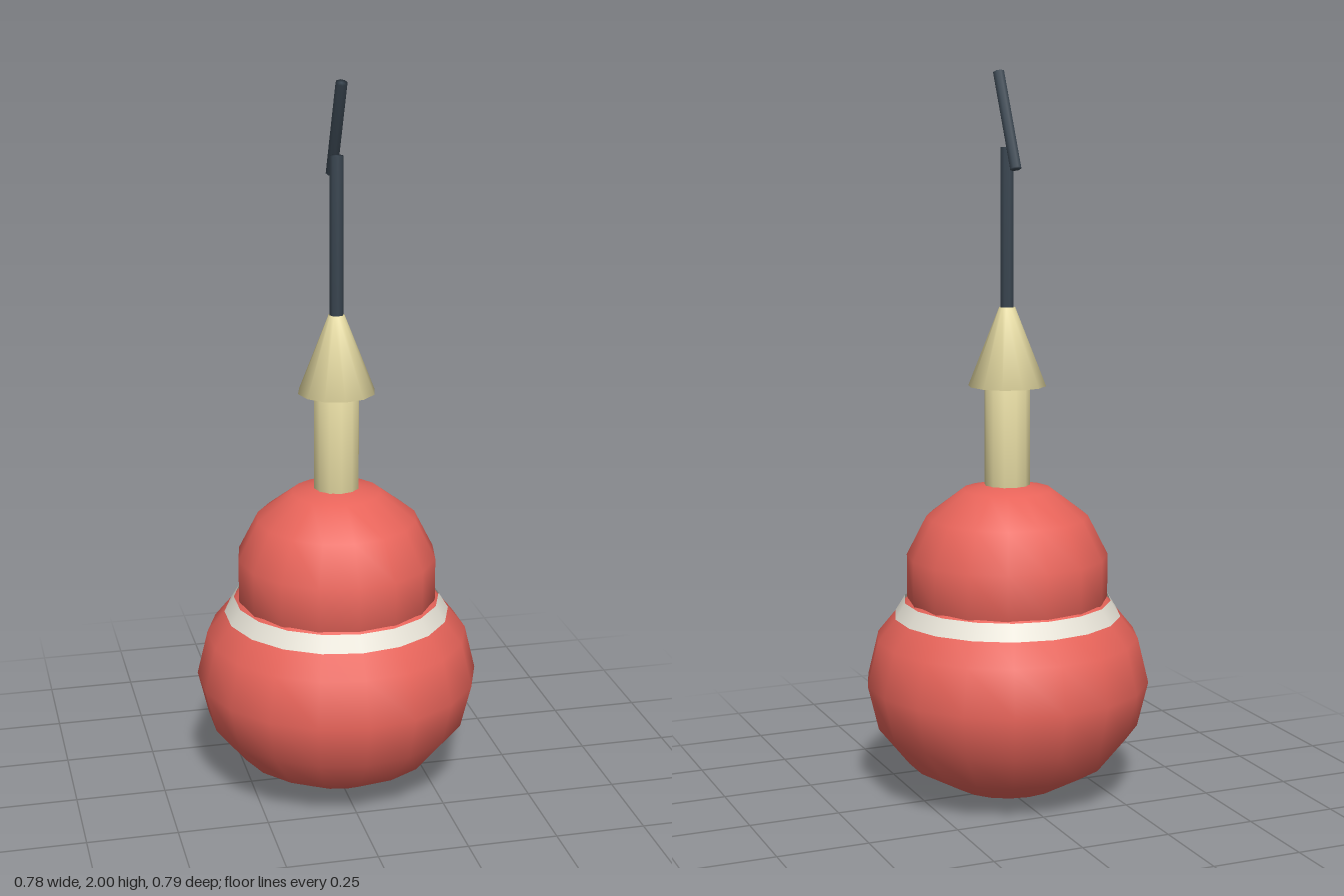
import * as THREE from 'three';

const paint = (color) => new THREE.MeshStandardMaterial({ color });
const RED = paint(0xe8645a);
const CREAM = paint(0xe6e2d6);
const YELLOW = paint(0xeadfa6);
const DARK = paint(0x3a4651);
CREAM.side = THREE.DoubleSide;

export function createModel() {
  const group = new THREE.Group();

  const add = (name, geometry, material, y = 0) => {
    const mesh = new THREE.Mesh(geometry, material);
    mesh.name = name;
    mesh.position.y = y;
    group.add(mesh);
    return mesh;
  };

  // Squashed sphere with a vertex column on the +z axis
  const ball = (r, ry, cols, rows) =>
    new THREE.SphereGeometry(r, cols, rows).rotateY(Math.PI / 2).scale(1, ry / r, 1);

  // Closed, softly shaded turned part from a bottom-to-top profile
  const turned = (points, sides) =>
    new THREE.LatheGeometry(points.map(([r, y]) => new THREE.Vector2(r, y)), sides);

  const rod = (r, y0, y1, sides) => turned([[0, y0], [r, y0], [r, y1], [0, y1]], sides);

  // Rounded float: wide lower body with a smaller dome on top
  add('lowerBody', ball(0.394, 0.325, 18, 8), RED, 0.326);
  add('upperDome', ball(0.285, 0.27, 16, 7), RED, 0.62);

  // Pale stripe hugging the shoulder of the lower body
  add('shoulderBand', new THREE.CylinderGeometry(0.288, 0.315, 0.044, 18, 1, true), CREAM, 0.533);

  // Neck and cone
  add('neck', rod(0.063, 0.84, 1.18, 12), YELLOW);
  add('cone', turned([[0, 1.15], [0.107, 1.15], [0.022, 1.365], [0, 1.365]], 12), YELLOW);

  // Antenna with a tilted tip bar leaning to the front
  add('antenna', rod(0.019, 1.35, 1.795, 8), DARK);
  const tip = add('tipBar', rod(0.016, -0.14, 0.14, 8), DARK, 1.866);
  tip.rotation.x = 0.43;

  return group;
}
